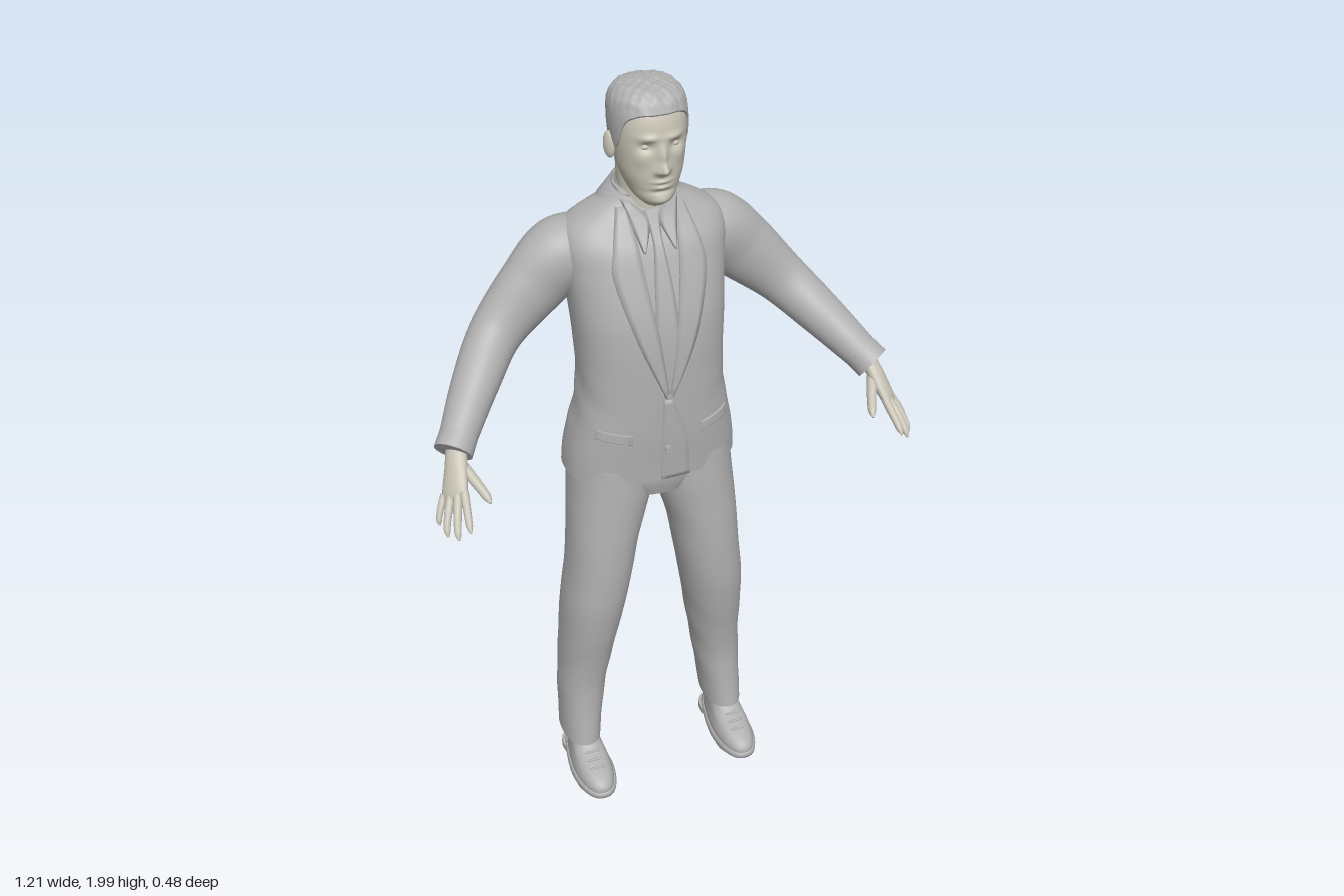
import * as THREE from 'three';

const V = (x, y, z) => new THREE.Vector3(x, y, z);
const TAU = Math.PI * 2;
const suit = new THREE.MeshStandardMaterial({ color: 0xb0b0b0 });
suit.name = 'suit grey';
const skin = new THREE.MeshStandardMaterial({ color: 0xc6c2b4 });
skin.name = 'skin';

// Smooth lookup in rows of [key, ...values]
function sampler(rows) {
  const n = rows[0].length - 1;
  const it = new THREE.CubicInterpolant(rows.map(r => r[0]), new Float32Array(rows.flatMap(r => r.slice(1))), n);
  return t => Array.from(it.evaluate(t));
}
const steps = (a, b, n) => Array.from({ length: n + 1 }, (_, i) => a + (b - a) * i / n);

// Skin a stack of point rows; closed rows get optional end caps
function skinRows(rows, closed = true, caps = true) {
  const n = rows[0].length, pos = rows.flat().flatMap(p => [p.x, p.y, p.z]), idx = [];
  for (let i = 0; i < rows.length - 1; i++) for (let j = 0; j < (closed ? n : n - 1); j++) {
    const k = (j + 1) % n, a = i * n + j, b = i * n + k, c = b + n, d = a + n;
    idx.push(a, b, c, a, c, d);
  }
  if (closed && caps) [rows[0], rows[rows.length - 1]].forEach((row, end) => {
    const base = pos.length / 3, mid = row.reduce((s, p) => s.add(p), V(0, 0, 0)).divideScalar(n);
    [...row, mid].forEach(p => pos.push(p.x, p.y, p.z));
    for (let j = 0; j < n; j++) {
      const a = base + j, b = base + (j + 1) % n;
      idx.push(...(end ? [a, b, base + n] : [b, a, base + n]));
    }
  });
  const g = new THREE.BufferGeometry();
  g.setAttribute('position', new THREE.Float32BufferAttribute(pos, 3));
  g.setIndex(idx);
  g.computeVertexNormals();
  return g;
}
const flip = rows => rows.map(r => r.map(p => V(-p.x, p.y, p.z)).reverse());
const sided = (rows, s) => (s < 0 ? flip(rows) : rows);

// Horizontal superellipse ring
function ring(y, zf, zb, rx, cx = 0, e = 2.3, seg = 64) {
  const pw = v => Math.sign(v) * Math.abs(v) ** (2 / e);
  return steps(0, TAU, seg).slice(0, seg).map(t =>
    V(cx + rx * pw(Math.sin(t)), y, (zf + zb) / 2 + (zf - zb) / 2 * pw(Math.cos(t))));
}

// Elliptical limb along a path; radii a lies along the hint direction
function limb(points, radii, hint, n = 24, seg = 24) {
  const curve = new THREE.CatmullRomCurve3(points.map(p => V(...p)));
  const rad = sampler(radii.map((r, i) => [i / (radii.length - 1), ...r]));
  return steps(0, 1, n).map(t => {
    const c = curve.getPoint(t), T = curve.getTangent(t), [a, b] = rad(t);
    const N = hint.clone().addScaledVector(T, -hint.dot(T)).normalize(), B = T.clone().cross(N);
    return steps(0, TAU, seg).slice(0, seg).map(q =>
      c.clone().addScaledVector(N, a * Math.cos(q)).addScaledVector(B, b * Math.sin(q)));
  });
}

// Jacket body: y, front z, back z, half width
const bodyRows = [[1.0, .05, -.222, .222], [1.05, .053, -.22, .218], [1.12, .058, -.212, .205], [1.2, .06, -.2, .187],
  [1.28, .06, -.203, .18], [1.36, .058, -.213, .182], [1.44, .05, -.226, .187], [1.5, .035, -.24, .192],
  [1.56, .015, -.243, .198], [1.62, -.01, -.232, .2], [1.655, -.035, -.215, .183], [1.685, -.053, -.197, .135],
  [1.71, -.063, -.182, .09], [1.735, -.07, -.175, .066]];
const body = sampler(bodyRows), BE = 2.5;
function frontZ(x, y) {
  const [zf, zb, rx] = body(y);
  return (zf + zb) / 2 + (zf - zb) / 2 * Math.max(0, 1 - Math.abs(x / rx) ** BE) ** (1 / BE);
}

// Thin cloth plate lying on the jacket front, between two [x, y] edges
function plate(left, right, t) {
  const at = e => sampler(e.map((p, i) => [i / (e.length - 1), ...p]));
  const L = at(left), R = at(right), cols = [0, 0, .2, .4, .6, .8, 1, 1];
  const vs = [0, ...steps(0, 1, 20), 1];
  return vs.map((v, i) => cols.map((u, j) => {
    const a = L(v), b = R(v), x = a[0] + (b[0] - a[0]) * u, y = a[1] + (b[1] - a[1]) * u;
    const rim = i === 0 || i === vs.length - 1 || j === 0 || j === cols.length - 1;
    return V(x, y, frontZ(x, y) + (rim ? -.006 : t));
  }));
}

// Head: y, front z, back z, half width
const head = sampler([[1.722, -.005, -.075, .026], [1.74, .014, -.11, .045], [1.77, .018, -.14, .061], [1.8, .02, -.152, .072],
  [1.84, .02, -.163, .079], [1.88, .02, -.172, .083], [1.92, .014, -.173, .084], [1.945, .004, -.168, .08],
  [1.965, -.01, -.155, .069], [1.978, -.032, -.135, .05], [1.985, -.07, -.1, .015]]);
// Face relief: x, y, spread x, spread y, height (mirrored)
const relief = [[0, 1.822, .011, .013, .026], [0, 1.85, .009, .025, .014], [.03, 1.893, .02, .008, .006],
  [.034, 1.872, .015, .011, -.01], [0, 1.791, .02, .005, .006], [0, 1.777, .018, .005, .006], [0, 1.765, .025, .005, -.004],
  [0, 1.741, .022, .012, .006], [.013, 1.817, .006, .008, .008], [.047, 1.845, .017, .017, .004]];

export function createModel() {
  const model = new THREE.Group();
  const add = (name, geo, mat = suit) => {
    const m = new THREE.Mesh(geo, mat);
    m.name = name;
    model.add(m);
    return m;
  };

  // Jacket body with a shallow groove down the spine
  const torso = steps(1.0, 1.735, 60).map(y => {
    const r = ring(y, ...body(y), 0, BE, 80);
    r.forEach(p => {
      if (p.z < -.12) p.z += .012 * Math.exp(-((p.x / .03) ** 2) - ((y - 1.36) / .17) ** 2);
      p.x *= 1 + .008 * Math.sin(y * 55 + p.z * 30) * Math.exp(-(((y - 1.22) / .09) ** 2));
    });
    return r;
  });
  add('jacketBody', skinRows(torso));
  add('jacketFrontOverlap', skinRows(plate([[-.015, 1.003], [-.016, 1.12], [-.012, 1.24]], [[.06, 1.003], [.05, 1.12], [.01, 1.24]], .004), false));
  add('tie', skinRows(plate([[-.01, 1.25], [-.03, 1.36], [-.022, 1.52], [-.011, 1.63], [-.02, 1.69]],
    [[.01, 1.25], [.03, 1.36], [.022, 1.52], [.011, 1.63], [.02, 1.69]], .008), false));
  for (const y of [1.255, 1.1]) {
    const b = add('jacketButton', new THREE.CylinderGeometry(.008, .009, .008, 20));
    b.rotation.x = Math.PI / 2;
    b.position.set(0, y, frontZ(0, y) + .008);
  }
  // Back vent
  add('backVent', skinRows(steps(1.001, 1.13, 8).map((y, i) => [.022, .02, -.004, -.006].map((x, j) =>
    V(x * (1 - i / 9), y, body(y)[1] - (j === 0 || j === 3 ? -.004 : .004)))), false));

  // Collars
  const band = (rows, t0, t1, tilt) => rows.map(([y, rx, rz]) => steps(t0, t1, 56).map(t => {
    const z = rz * Math.cos(t);
    return V(rx * Math.sin(t), y - tilt * z, z - .118);
  }));
  add('jacketCollar', skinRows(band([[1.675, .115, .083], [1.688, .112, .083], [1.715, .09, .072], [1.735, .074, .064],
    [1.737, .069, .06], [1.71, .066, .057]], .7, TAU - .7, .3), false));
  add('shirtCollar', skinRows(band([[1.69, .068, .062], [1.725, .064, .06], [1.745, .06, .058], [1.744, .056, .054],
    [1.71, .053, .05]], 0, TAU, .25), false));
  add('neck', skinRows(steps(1.66, 1.8, 10).map(y => ring(y, -.055, -.165, .056 + .05 * (y - 1.66), 0, 2.1, 40))), skin);

  // Head with face relief
  const skull = steps(1.722, 1.985, 110).map(y => {
    const r = ring(y, ...head(y), 0, 2.2, 100);
    r.forEach(p => {
      if (p.z < -.05) return;
      const { x } = p;
      for (const [bx, by, sx, sy, h] of relief) for (const s of bx ? [1, -1] : [1])
        p.z += h * Math.exp(-(((x - s * bx) / sx) ** 2) - ((y - by) / sy) ** 2);
    });
    return r;
  });
  add('head', skinRows(skull), skin);

  // Short, rough hair cap with a shaped hairline
  const hairline = sampler([[0, 1.94], [.65, 1.935], [1.0, 1.915], [1.25, 1.87], [1.45, 1.855], [1.6, 1.882],
    [1.85, 1.87], [2.1, 1.815], [2.5, 1.8], [3.15, 1.795]]);
  const hair = [-1, ...steps(0, 1, 50)].map(v => steps(0, TAU, 96).slice(0, 96).map((t, j) => {
    const h = hairline(Math.min(t, TAU - t))[0], y = h + (1.985 - h) * Math.sin(Math.max(v, 0) * Math.PI / 2);
    const p = ring(y, ...head(y), 0, 2.2, 96)[j], high = THREE.MathUtils.smoothstep(y, 1.91, 1.97);
    const rough = high * .016 * (Math.sin(p.x * 170 + p.z * 60) * Math.sin(p.z * 210 + p.y * 90) + Math.sin(p.x * 330 - p.z * 250) * .5);
    const k = v < 0 ? .98 : 1.045 + .03 * high + rough;
    return V(p.x * k, 1.88 + (y - 1.88) * k, -.08 + (p.z + .08) * k);
  }));
  add('hair', skinRows(hair));

  for (const s of [1, -1]) {
    // Lapel, shirt collar point, pocket flap
    add('lapel', skinRows(sided(plate([[0, 1.25], [.02, 1.4], [.042, 1.55], [.05, 1.64], [.058, 1.7]],
      [[.008, 1.25], [.07, 1.4], [.112, 1.55], [.105, 1.62], [.08, 1.7]], .011), s), false));
    add('shirtCollarPoint', skinRows(sided(plate([[.036, 1.612], [.014, 1.672], [.05, 1.715]],
      [[.039, 1.612], [.055, 1.67], [.066, 1.715]], .015), s), false));
    add('pocketFlap', skinRows(sided(plate([[.09, 1.128], [.09, 1.152]], [[.172, 1.14], [.168, 1.164]], .007), s), false));

    // Ear and eye
    const ear = add('ear', new THREE.SphereGeometry(1, 20, 14), skin);
    ear.scale.set(.01, .031, .018);
    ear.position.set(s * .087, 1.85, -.085);
    ear.rotation.set(-.15, s * -.35, 0);
    const eye = add('eye', new THREE.SphereGeometry(.013, 16, 12), skin);
    eye.position.set(s * .034, 1.871, -.004);
    eye.scale.y = .7;

    // Sleeve and cuff
    const zHint = V(-.2, 0, 1);
    add('sleeve', skinRows(sided(limb([[.12, 1.605, -.145], [.19, 1.572, -.145], [.265, 1.505, -.138], [.365, 1.41, -.115],
      [.44, 1.335, -.04], [.53, 1.24, .075]], [[.07, .06], [.083, .088], [.068, .085], [.06, .066], [.056, .056], [.042, .042]],
    zHint, 48, 36), s)));
    add('sleeveCuff', skinRows(sided(limb([[.512, 1.26, .053], [.534, 1.236, .08]], [[.045, .045], [.046, .046]], zHint, 3, 36), s)));

    // Hand
    const across = V(.045, -.02, -.05);
    add('palm', skinRows(sided(limb([[.522, 1.252, .066], [.536, 1.212, .105], [.551, 1.17, .139], [.559, 1.148, .156]],
      [[.026, .02], [.03, .019], [.035, .015], [.029, .008]], across), s)), skin);
    const digits = [
      ['thumb', [[.522, 1.215, .105], [.503, 1.19, .145], [.49, 1.172, .175], [.483, 1.16, .198]], .012],
      ['indexFinger', [[.534, 1.178, .16], [.538, 1.156, .192], [.542, 1.136, .22], [.544, 1.12, .24]], .0095],
      ['middleFinger', [[.548, 1.168, .154], [.559, 1.142, .185], [.567, 1.115, .209], [.57, 1.097, .226]], .0098],
      ['ringFinger', [[.562, 1.16, .14], [.576, 1.135, .165], [.586, 1.108, .184], [.588, 1.09, .197]], .0092],
      ['littleFinger', [[.573, 1.156, .122], [.587, 1.132, .138], [.595, 1.112, .148], [.597, 1.097, .156]], .008]];
    for (const [name, path, r] of digits)
      add(name, skinRows(sided(limb(path, [1.1, 1.08, 1, .92, .8, .25].map(k => [r * k, r * k]), across, 18, 14), s)), skin);

    // Trouser leg with soft folds
    const leg = sampler([[.1, .214, .052, .012, -.167], [.2, .207, .058, 0, -.17], [.3, .198, .064, -.003, -.173],
      [.4, .187, .07, .01, -.175], [.5, .177, .077, .03, -.172], [.6, .165, .083, .045, -.165], [.7, .15, .086, .05, -.162],
      [.8, .137, .091, .05, -.167], [.88, .122, .1, .047, -.18], [.95, .109, .107, .045, -.197], [1.04, .1, .108, .04, -.2]]);
    add('trouserLeg', skinRows(sided(steps(.1, 1.04, 70).map(y => {
      const [cx, rx, zf, zb] = leg(y), r = ring(y, zf, zb, rx, cx, 2.2, 48);
      r.forEach((p, j) => {
        const f = 1 + .018 * Math.sin(y * 42 + j * .26) * Math.exp(-(((y - .3) / .2) ** 2));
        p.x = cx + (p.x - cx) * f;
      });
      return r;
    }), s)));

    // Shoe: upper, welted sole, heel
    const foot = (y, zf, zb, w) => ring(y, zf, zb, w, 0, 2.3, 48).map(p =>
      V(.212 + p.x * (.82 + .18 * THREE.MathUtils.smoothstep(p.z, -.1, .04)), p.y, p.z));
    const upper = sampler([[.018, .13, -.138, .053], [.04, .13, -.14, .053], [.055, .115, -.138, .05], [.07, .08, -.136, .047],
      [.085, .035, -.133, .045], [.1, .01, -.13, .044], [.13, -.005, -.128, .043]]);
    add('shoeUpper', skinRows(sided(steps(.018, .13, 24).map(y => foot(y, ...upper(y))), s)));
    add('shoeSole', skinRows(sided([[.008, .128, -.14, .056], [.012, .137, -.145, .06], [.024, .138, -.146, .06],
      [.028, .133, -.142, .056]].map(r => foot(...r)), s)));
    add('shoeHeel', skinRows(sided([0, .02].map(y => foot(y, -.055, -.145, .057)), s)));
    add('shoeTread', skinRows(sided([0, .014].map(y => foot(y, .105, -.02, .053)), s)));
    // Laces
    for (const i of [0, 1, 2]) {
      const lace = add('shoeLace', new THREE.CapsuleGeometry(.003, .036, 4, 8));
      lace.rotation.z = Math.PI / 2;
      lace.position.set(s * .212, .072 + i * .01, .075 - i * .022);
    }
  }
  // Seat of the trousers
  add('trouserSeat', skinRows(steps(.94, 1.05, 10).map(y => {
    const k = THREE.MathUtils.smoothstep(y, .9, 1.0);
    return ring(y, .02 + .02 * k, -.15 - .055 * k, .06 + .14 * k);
  })));
  return model;
}
